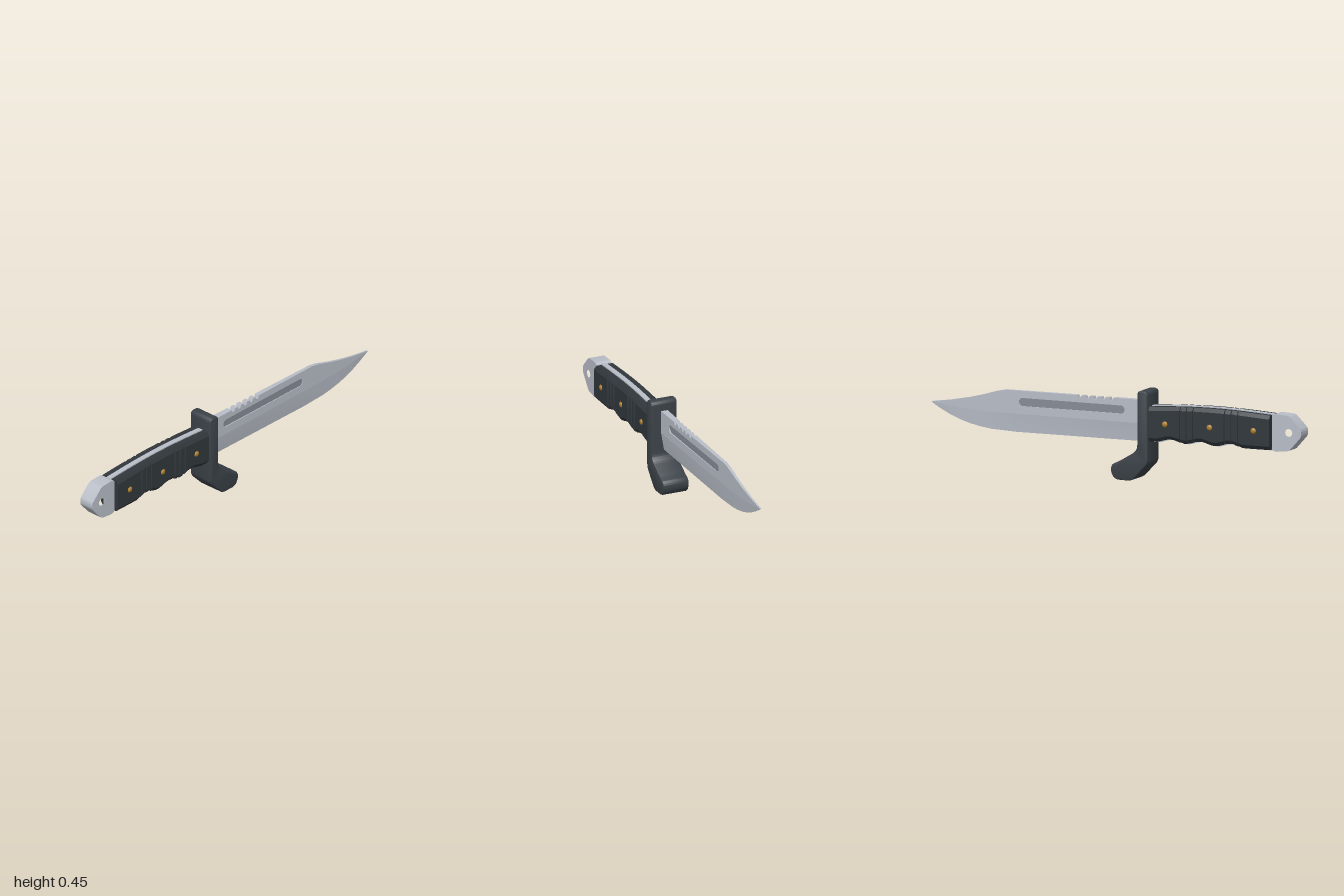
import * as THREE from 'three';
import { toCreasedNormals } from 'three/addons/utils/BufferGeometryUtils.js';

const mat = (name, color) => {
  const m = new THREE.MeshStandardMaterial({ color });
  m.name = name;
  return m;
};

// Shape drawn in (z, y), from corner points or a finished Shape
const outline = (pts) => new THREE.Shape(pts.map(([z, y]) => new THREE.Vector2(z, y)));

// Extrude a (z, y) shape across x, centred on x = 0
function plate(shape, half, bevel = 0) {
  const g = new THREE.ExtrudeGeometry(shape, {
    depth: 2 * (half - bevel), bevelEnabled: bevel > 0, bevelThickness: bevel,
    bevelSize: bevel, bevelOffset: -bevel, bevelSegments: 2, curveSegments: 10,
  });
  g.translate(0, 0, -(half - bevel));
  g.rotateY(-Math.PI / 2);
  return g;
}

// Skin over cross-sections ordered by rising z, each counter-clockwise seen from +z
function loft(sections) {
  const pos = [], n = sections[0].length;
  const tri = (...p) => p.forEach((v) => pos.push(...v));
  for (let i = 0; i < sections.length - 1; i++) {
    const a = sections[i], b = sections[i + 1];
    for (let j = 0; j < n; j++) {
      const k = (j + 1) % n;
      tri(a[j], a[k], b[k]);
      tri(a[j], b[k], b[j]);
    }
  }
  const first = sections[0], last = sections[sections.length - 1];
  for (let j = 1; j < n - 1; j++) {
    tri(first[0], first[j + 1], first[j]);
    tri(last[0], last[j], last[j + 1]);
  }
  const g = new THREE.BufferGeometry();
  g.setAttribute('position', new THREE.Float32BufferAttribute(pos, 3));
  g.computeVertexNormals();
  return toCreasedNormals(g, 0.35);
}

// Polygon with every corner rounded by radius r
function rounded(pts, r) {
  const s = new THREE.Shape(), n = pts.length;
  pts.forEach(([z, y], i) => {
    const p = new THREE.Vector2(z, y);
    const toward = (q) => {
      const d = new THREE.Vector2(...q).sub(p);
      return d.multiplyScalar(Math.min(r, d.length() / 2.05) / d.length()).add(p);
    };
    const a = toward(pts[(i + n - 1) % n]), b = toward(pts[(i + 1) % n]);
    if (i === 0) s.moveTo(a.x, a.y); else s.lineTo(a.x, a.y);
    s.quadraticCurveTo(p.x, p.y, b.x, b.y);
  });
  s.closePath();
  return s;
}

// Blade half thickness along its length
const bladeHalf = (z) => 0.004 + 0.0135 * (z + 1) / 1.15;
function taper(g, scale = 1) {
  const p = g.attributes.position;
  for (let i = 0; i < p.count; i++) p.setX(i, p.getX(i) * scale * bladeHalf(p.getZ(i)));
  g.computeVertexNormals();
  return toCreasedNormals(g, 0.5);
}

// Long slot with round ends
function slot(Type, z0, z1, y, r) {
  const s = new Type();
  s.absarc(z1 - r, y, r, -Math.PI / 2, Math.PI / 2, false);
  s.absarc(z0 + r, y, r, Math.PI / 2, Math.PI * 1.5, false);
  s.closePath();
  return s;
}

// Handle contours: arched back and finger grooves along the belly
const gripTop = (z) => 0.369 + 0.013 * Math.sin(Math.PI * (z - 0.18) / 0.66);
const gripBottom = (z) => {
  const wave = z > 0.22 && z < 0.7 ? 1 - Math.cos((z - 0.22) * Math.PI * 2 / 0.16) : 0;
  return 0.199 + 0.008 * wave;
};

export function createModel() {
  const model = new THREE.Group();
  const steel = mat('steel', 0xb9bec8);
  const grooveSteel = mat('grooveSteel', 0x878c96);
  const guardBlack = mat('guardBlack', 0x3b4248);
  const gripBlack = mat('gripBlack', 0x31373c);
  const brass = mat('brass', 0xb0802c);
  const add = (name, geo, m, parent = model) => {
    const mesh = new THREE.Mesh(geo, m);
    mesh.name = name;
    parent.add(mesh);
    return mesh;
  };

  // Upper blade: clipped spine, saw notches and fuller slot
  const blade = new THREE.Group();
  blade.name = 'blade';
  model.add(blade);
  const bevelLine = [[0.15, 0.28], [-0.68, 0.28], [-0.8, 0.286], [-0.9, 0.296], [-1, 0.308]];
  const upper = [...bevelLine].reverse();
  upper.push([0.15, 0.395]);
  for (let i = 0; i < 5; i++) {
    const z = -0.02 - i * 0.043;
    upper.push([z, 0.395], [z - 0.006, 0.381], [z - 0.018, 0.381], [z - 0.024, 0.395]);
  }
  upper.push([-0.6, 0.395], [-0.65, 0.385], [-0.72, 0.364], [-0.8, 0.344], [-0.9, 0.325], [-1, 0.311]);
  const upperShape = outline(upper);
  upperShape.holes.push(slot(THREE.Path, -0.53, 0.04, 0.34, 0.02));
  add('bladeUpper', taper(plate(upperShape, 1)), steel, blade);
  add('fullerFloor', taper(plate(slot(THREE.Shape, -0.532, 0.042, 0.34, 0.022), 1), 0.65), grooveSteel, blade);

  // Ground bevel down to the curved cutting edge
  const edge = [[-1, 0.308, 0.306], [-0.95, 0.302, 0.277], [-0.9, 0.296, 0.252], [-0.85, 0.291, 0.232],
    [-0.8, 0.286, 0.217], [-0.74, 0.283, 0.204], [-0.68, 0.28, 0.196], [-0.55, 0.28, 0.19], [0.15, 0.28, 0.19]];
  add('cuttingEdge', loft(edge.map(([z, y, e]) => {
    const h = bladeHalf(z), t = 0.002;
    return [[-t, e, z], [t, e, z], [h, y, z], [-h, y, z]];
  })), steel, blade);

  // Guard with forward hook
  const guardPts = [[0.187, 0.447], [0.13, 0.447], [0.13, 0.165], [0.115, 0.142], [0.03, 0.092],
    [-0.01, 0.075], [-0.012, 0.035], [0.01, 0.002], [0.1, 0], [0.187, 0.088]];
  add('guard', toCreasedNormals(plate(rounded(guardPts, 0.022), 0.069, 0.008), 0.6), guardBlack);

  // Tang showing between the grip scales
  const tang = [];
  for (let i = 0; i <= 66; i++) {
    const z = 0.17 + i * 0.0105, t = gripTop(z) + 0.003, b = gripBottom(z) - 0.006;
    tang.push([[-0.013, b, z], [0.013, b, z], [0.013, t, z], [-0.013, t, z]]);
  }
  add('tang', loft(tang), steel);

  // Grip scales with chamfered rims and cross grooves
  const grooves = [0.36, 0.395, 0.43, 0.6, 0.635, 0.67];
  const stations = [0.183, 0.835];
  for (let z = 0.19; z < 0.83; z += 0.01) {
    if (!grooves.some((g) => Math.abs(g - z) < 0.01)) stations.push(z);
  }
  grooves.forEach((g) => stations.push(g - 0.008, g - 0.006, g + 0.006, g + 0.008));
  stations.sort((a, b) => a - b);
  for (const side of [1, -1]) {
    const sections = stations.map((z) => {
      const o = grooves.some((g) => Math.abs(g - z) < 0.007) ? 0.05 : 0.057;
      const t = gripTop(z), b = gripBottom(z), c = 0.013;
      const ring = [[0.014, b + 0.002], [0.019, b], [o - c, b], [o, b + c * 1.4],
        [o, t - c * 1.4], [o - c, t], [0.019, t], [0.014, t - 0.002]];
      const pts = ring.map(([x, y]) => [x * side, y, z]);
      return side > 0 ? pts : pts.reverse();
    });
    const name = side > 0 ? 'left' : 'right';
    add(name + 'GripScale', loft(sections), gripBlack);
    // Domed rivets
    for (const z of [0.275, 0.515, 0.75]) {
      const rivet = add(name + 'Rivet', new THREE.SphereGeometry(0.015, 16, 10), brass);
      rivet.scale.x = 0.6;
      rivet.position.set(side * 0.056, 0.29, z);
    }
  }

  // Pommel with lanyard hole
  const pommel = rounded([[0.842, 0.374], [0.862, 0.378], [0.934, 0.374], [1, 0.308],
    [1, 0.274], [0.934, 0.2], [0.862, 0.192], [0.842, 0.2]], 0.012);
  const hole = new THREE.Path();
  hole.absarc(0.933, 0.29, 0.019, 0, Math.PI * 2, true);
  pommel.holes.push(hole);
  add('pommel', toCreasedNormals(plate(pommel, 0.04), 0.5), steel);

  return model;
}
